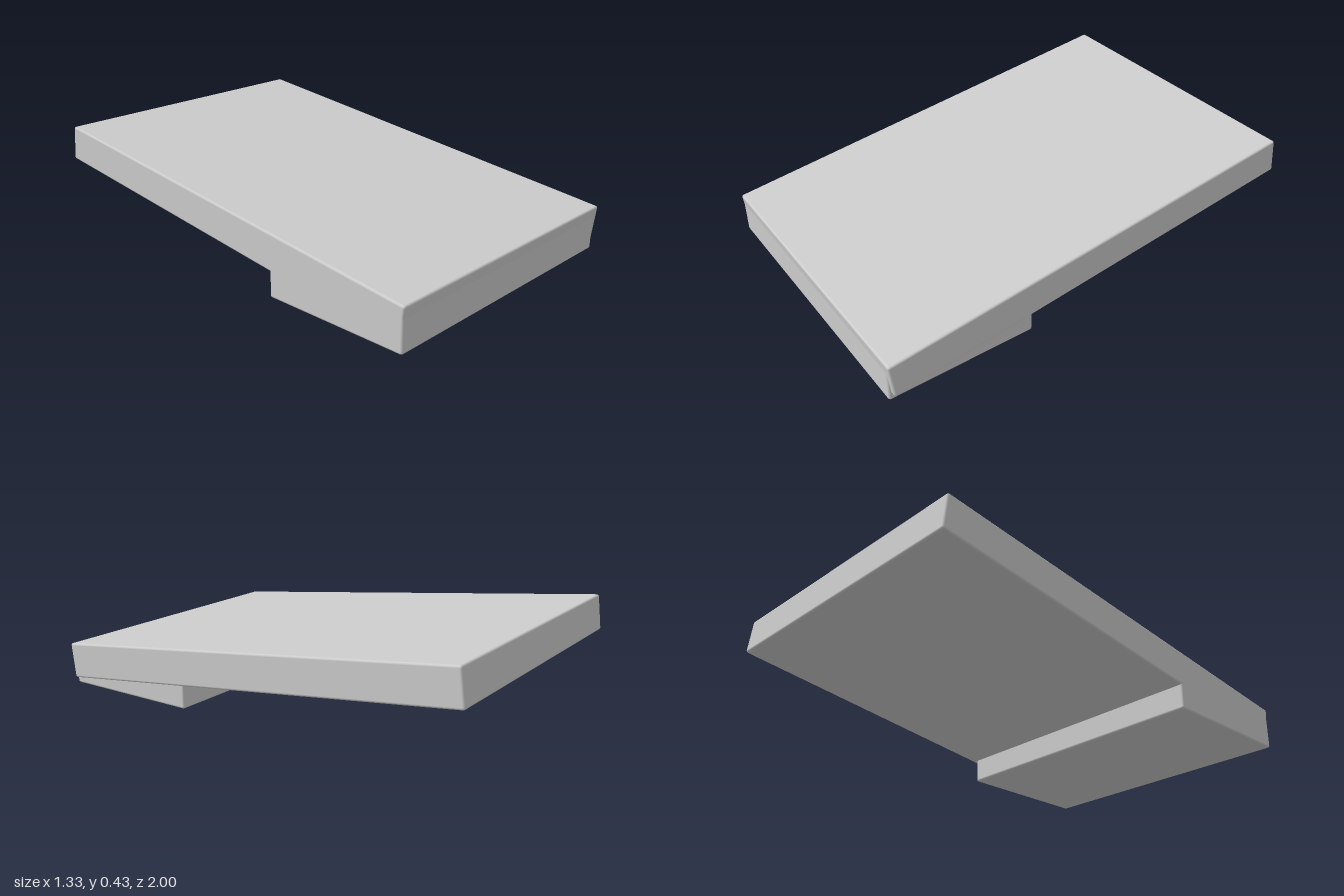
import * as THREE from 'three';
import { RoundedBoxGeometry } from 'three/addons/geometries/RoundedBoxGeometry.js';

export function createModel() {
  const model = new THREE.Group();
  model.name = 'tiltedSlab';
  const grey = new THREE.MeshStandardMaterial({ color: 0xcccccc });
  grey.name = 'light grey';

  // Softly bevelled block centred at a position
  function block(name, size, position) {
    const mesh = new THREE.Mesh(new RoundedBoxGeometry(...size, 3, 0.01), grey);
    mesh.name = name;
    mesh.position.set(...position);
    model.add(mesh);
    return mesh;
  }

  // Long slab, rising towards the back
  const slab = block('slab', [1.325, 0.16, 1.995], [0, 0.231, 0]);
  slab.rotation.x = THREE.MathUtils.degToRad(6.9);

  // Flat base under the front end, its top sunk into the slab
  block('base', [1.3, 0.15, 0.662], [-0.0125, 0.075, 0.663]);

  return model;
}
